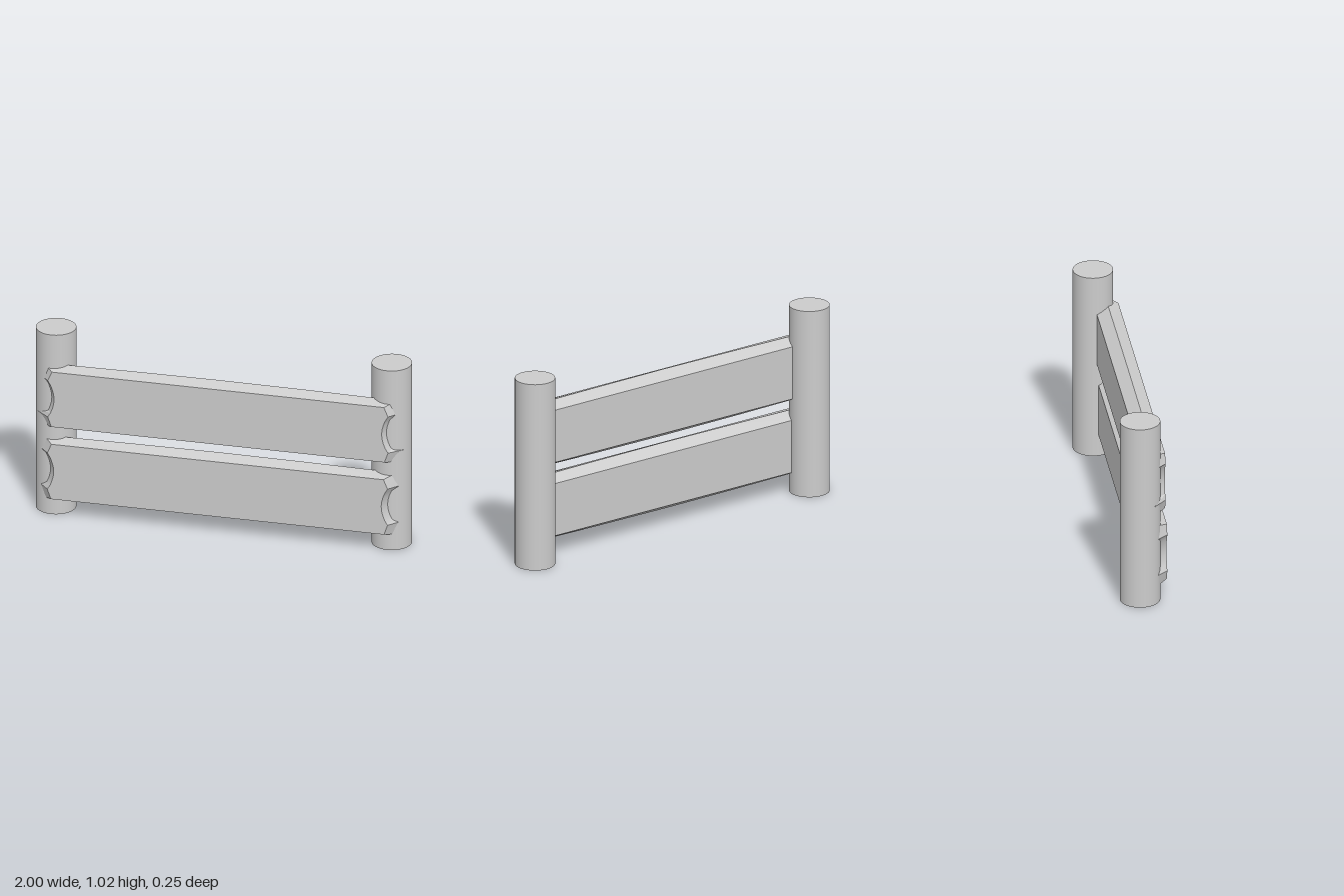
import * as THREE from 'three';
import { toCreasedNormals } from 'three/addons/utils/BufferGeometryUtils.js';

const material = new THREE.MeshStandardMaterial({ color: 0xcccccc, side: THREE.DoubleSide });

// Right half of a plank outline, top centre down to bottom centre.
// "rim" widens the ends, "lift" raises/lowers the long edges, "bow" crowns them.
function halfOutline(rim, lift, bow, tip) {
  const top = 0.157 + lift, low = 0.157 + lift;
  const points = [[0, top + bow], [0.45, top + bow * 0.7], [0.885 + rim, top], [0.907 + rim, 0.105]];
  // scooped notch in the end grain
  for (let i = 1; i < 8; i++) {
    const t = i / 8;
    points.push([0.903 + rim * 0.8 - 0.03 * Math.sin(Math.PI * t), 0.105 - 0.207 * t]);
  }
  points.push([0.907 + rim + tip, -0.102], [0.888 + rim, -low], [0.45, -low - bow * 0.7], [0, -low - bow]);
  return points;
}

// Plank lofted through front face, widest ridge and back face
function plankGeometry(tip) {
  const rings = [
    { z: 0.115, half: halfOutline(0, 0, 0, 0) },
    { z: 0.052, half: halfOutline(0.055, 0.018, 0.008, tip) },
    { z: -0.01, half: halfOutline(0.02, -0.013, 0, 0) },
  ];
  const n = rings[0].half.length;
  const loop = 2 * n - 2;
  const positions = [];
  const index = [];
  for (const { z, half } of rings) {
    for (const [x, y] of half) positions.push(x, y, z);
    for (let i = n - 2; i > 0; i--) positions.push(-half[i][0], half[i][1], z);
  }

  // bevels between rings
  for (let r = 0; r < 2; r++) {
    for (let i = 0; i < loop; i++) {
      const a = r * loop + i, b = r * loop + (i + 1) % loop;
      index.push(a, a + loop, b, b, a + loop, b + loop);
    }
  }

  // front and back faces, as strips from side to side
  for (const [start, front] of [[0, true], [2 * loop, false]]) {
    for (let i = 0; i < n - 1; i++) {
      const a = start + i, b = start + i + 1;
      const c = start + (loop - i) % loop, d = start + loop - i - 1;
      const triangles = [];
      if (i > 0) triangles.push([a, c, b]);
      if (i < n - 2) triangles.push([c, d, b]);
      for (const [p, q, s] of triangles) index.push(...(front ? [p, q, s] : [p, s, q]));
    }
  }

  const geometry = new THREE.BufferGeometry();
  geometry.setAttribute('position', new THREE.Float32BufferAttribute(positions, 3));
  geometry.setIndex(index);
  return toCreasedNormals(geometry, 0.4);
}

export function createModel() {
  const model = new THREE.Group();
  model.name = 'fenceSection';

  // Round posts with a flat top and an open foot
  const radius = 0.105, height = 1.025;
  for (const side of [-1, 1]) {
    const post = new THREE.Group();
    post.name = side > 0 ? 'leftPost' : 'rightPost';
    post.position.set(side * 0.895, 0, -0.017);

    const tube = new THREE.Mesh(new THREE.CylinderGeometry(radius, radius, height, 48, 1, true), material);
    tube.name = 'postTube';
    tube.position.y = height / 2;

    const cap = new THREE.Mesh(new THREE.CircleGeometry(radius, 48), material);
    cap.name = 'postTop';
    cap.rotation.x = -Math.PI / 2;
    cap.position.y = height;

    post.add(tube, cap);
    model.add(post);
  }

  // Two bevelled planks; the lower one sits slightly further forward
  const planks = [
    { name: 'upperPlank', y: 0.669, z: 0, tip: 0.015 },
    { name: 'lowerPlank', y: 0.26, z: 0.009, tip: 0 },
  ];
  for (const { name, y, z, tip } of planks) {
    const plank = new THREE.Mesh(plankGeometry(tip), material);
    plank.name = name;
    plank.position.set(0, y, z);
    model.add(plank);
  }

  return model;
}
